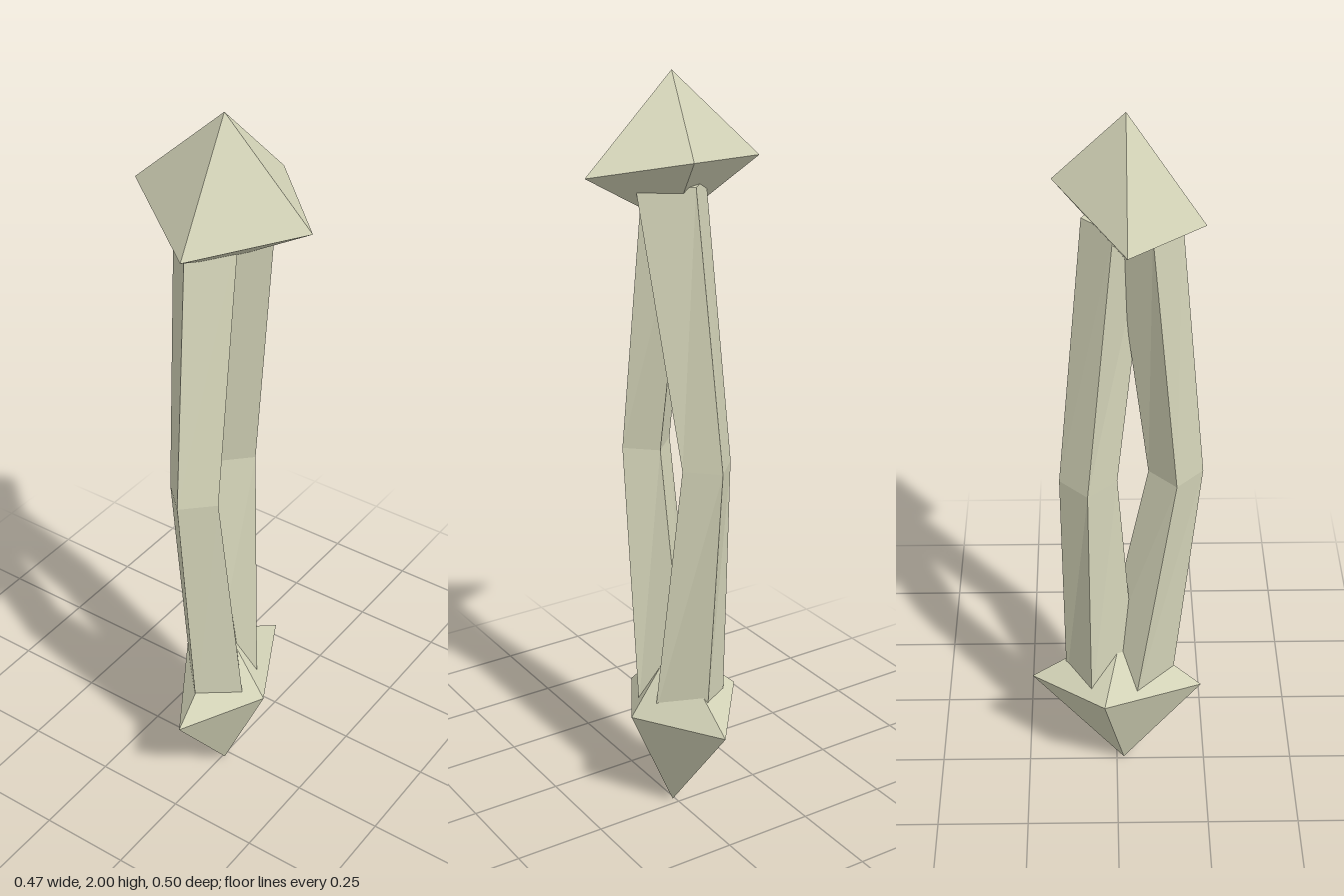
import * as THREE from 'three';

// Flat-shaded solid lofted through rings of corners (ordered counter-clockwise seen from below).
// A ring of one point acts as a pointed tip; rings run from bottom to top.
function loft(rings) {
  const pos = [];
  const tri = (a, b, c) => pos.push(...a, ...b, ...c);
  const n = 4;
  for (let r = 0; r < rings.length - 1; r++) {
    const lo = rings[r], hi = rings[r + 1];
    for (let i = 0; i < n; i++) {
      const j = (i + 1) % n;
      if (lo.length === 1) tri(lo[0], hi[j], hi[i]);
      else if (hi.length === 1) tri(lo[i], lo[j], hi[0]);
      else {
        tri(lo[i], lo[j], hi[j]);
        tri(lo[i], hi[j], hi[i]);
      }
    }
  }
  // Close flat ends
  const first = rings[0], last = rings[rings.length - 1];
  if (first.length === n) {
    tri(first[0], first[2], first[1]);
    tri(first[0], first[3], first[2]);
  }
  if (last.length === n) {
    tri(last[0], last[1], last[2]);
    tri(last[0], last[2], last[3]);
  }
  const g = new THREE.BufferGeometry();
  g.setAttribute('position', new THREE.Float32BufferAttribute(pos, 3));
  g.computeVertexNormals();
  return g;
}

// Horizontal four-cornered section: front, right (+x), back, left (-x)
const section = (y, corners) => corners.map(([x, z]) => [x, y, z]);

export function createModel() {
  const group = new THREE.Group();
  const bone = new THREE.MeshStandardMaterial({ color: 0xd6d6ba });
  bone.name = 'pale bone';
  const add = (name, rings) => {
    const mesh = new THREE.Mesh(loft(rings), bone);
    mesh.name = name;
    group.add(mesh);
  };

  // Wide knob at the top
  add('upperKnob', [
    [[-0.02, 1.63, 0.005]],
    [[-0.02, 1.77, 0.247], [0.152, 1.815, 0.055], [-0.02, 1.77, -0.25], [-0.21, 1.71, 0.02]],
    [[-0.02, 2, 0.007]],
  ]);

  // Long pointed knob at the bottom
  add('lowerKnob', [
    [[-0.02, 0, 0.007]],
    [[-0.02, 0.3, 0.137], [0.235, 0.318, 0.007], [0.035, 0.345, -0.157], [-0.235, 0.28, 0.007]],
    [[-0.015, 0.49, 0.005]],
  ]);

  // Two bowed shafts that meet at both ends
  add('leftShaft', [
    section(0.31, [[0.02, 0.088], [0.14, 0.003], [0.07, -0.096], [-0.055, -0.01]]),
    section(1.02, [[0.075, 0.037], [0.147, -0.037], [0.075, -0.109], [0, -0.037]]),
    section(1.74, [[0.01, 0.127], [0.084, 0.005], [0.01, -0.072], [-0.078, 0.04]]),
  ]);
  add('rightShaft', [
    section(0.31, [[-0.055, 0.092], [0.055, 0.01], [-0.05, -0.088], [-0.153, 0.005]]),
    section(1.02, [[-0.148, 0.078], [-0.08, 0.005], [-0.15, -0.068], [-0.22, 0.005]]),
    section(1.74, [[-0.053, 0.07], [0.012, -0.02], [-0.08, -0.094], [-0.152, -0.01]]),
  ]);
  return group;
}
